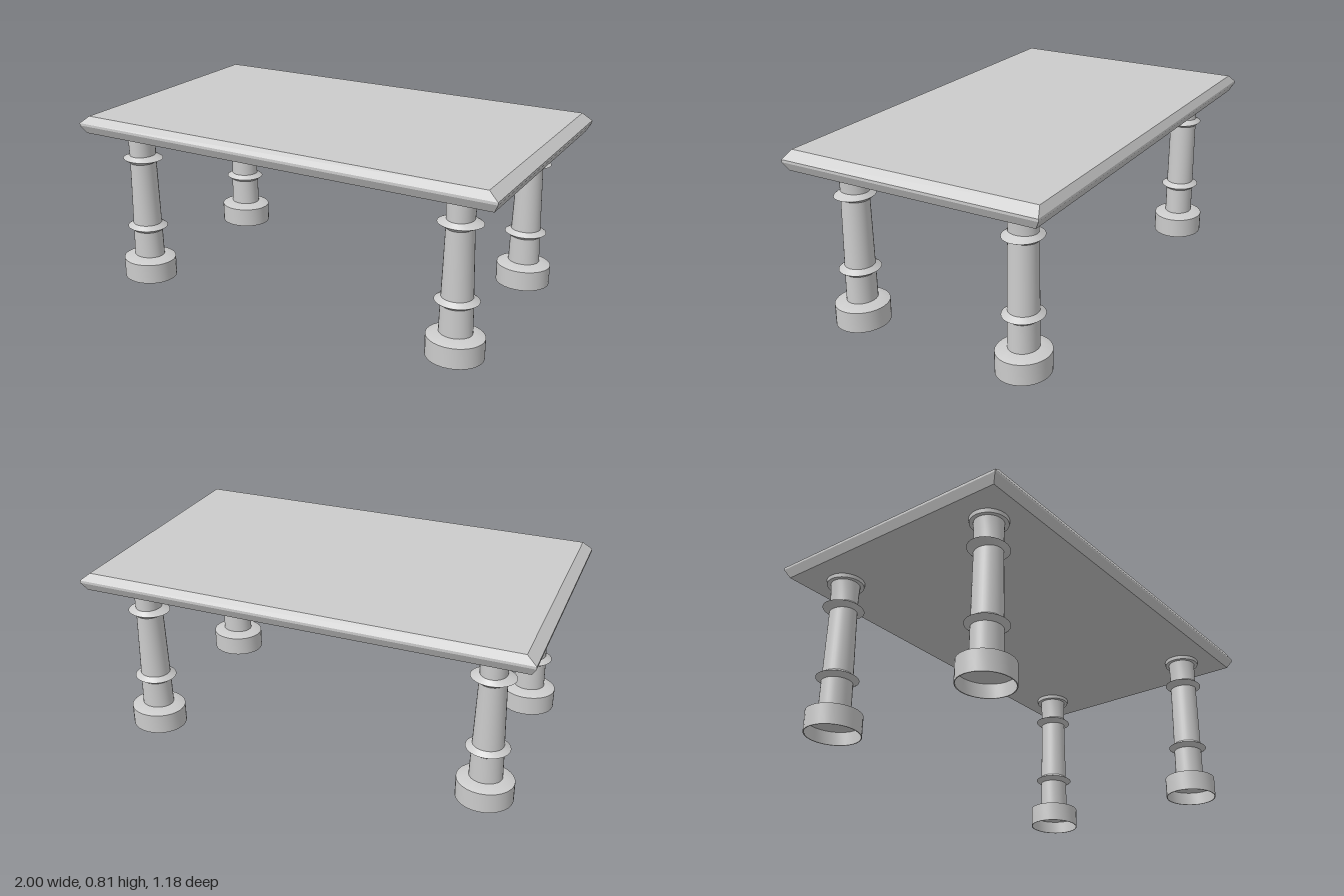
import * as THREE from 'three';
import { toCreasedNormals } from 'three/addons/utils/BufferGeometryUtils.js';

const material = new THREE.MeshStandardMaterial({ color: 0xcccccc });

// Bevelled slab: a box whose height levels each get their own half width and half depth
function tableTopGeometry() {
  const levels = [ // [y, half x, half z], bottom to top
    [0.727, 0.98, 0.57],
    [0.765, 1.0, 0.591],
    [0.776, 1.0, 0.591],
    [0.81, 0.957, 0.572],
  ];
  const geometry = new THREE.BoxGeometry(2, 3, 2, 1, 3, 1);
  const p = geometry.attributes.position;
  for (let i = 0; i < p.count; i++) {
    const [y, hx, hz] = levels[Math.round(p.getY(i) + 1.5)];
    p.setXYZ(i, Math.sign(p.getX(i)) * hx, y, Math.sign(p.getZ(i)) * hz);
  }
  return toCreasedNormals(geometry, 0.2);
}

// Turned leg with slightly oval sections
function legGeometry() {
  const rows = [ // [y, x radius, z radius]
    [0.06, 0, 0], [0.06, 0.122, 0.111], [0, 0.122, 0.111], // hollow foot
    [0, 0.126, 0.115], [0.093, 0.126, 0.115], [0.11, 0.077, 0.066], // foot and its sloped cap
    [0.11, 0.073, 0.064],
    [0.236, 0.07, 0.064], [0.254, 0.096, 0.088], [0.272, 0.068, 0.064], // lower ring
    [0.573, 0.058, 0.063], [0.591, 0.096, 0.084], [0.609, 0.057, 0.063], // upper ring
    [0.66, 0.06, 0.063], [0.71, 0.066, 0.063],
    [0.71, 0.083, 0.08], [0.73, 0.086, 0.082], // top flange
  ];
  const geometry = new THREE.LatheGeometry(rows.map(([y, rx]) => new THREE.Vector2(rx, y)), 32);
  const p = geometry.attributes.position;
  for (let i = 0; i < p.count; i++) {
    const [, rx, rz] = rows[i % rows.length];
    if (rx > 0) p.setZ(i, p.getZ(i) * rz / rx);
  }
  return toCreasedNormals(geometry, 0.5);
}

export function createModel() {
  const table = new THREE.Group();
  table.name = 'table';

  const top = new THREE.Mesh(tableTopGeometry(), material);
  top.name = 'tableTop';
  table.add(top);

  const leg = legGeometry();
  for (const [side, x] of [['Right', -0.803], ['Left', 0.786]]) {
    for (const [end, z] of [['front', 0.407], ['back', -0.404]]) {
      const mesh = new THREE.Mesh(leg, material);
      mesh.name = `${end}${side}Leg`;
      mesh.position.set(x, 0, z);
      table.add(mesh);
    }
  }
  return table;
}
